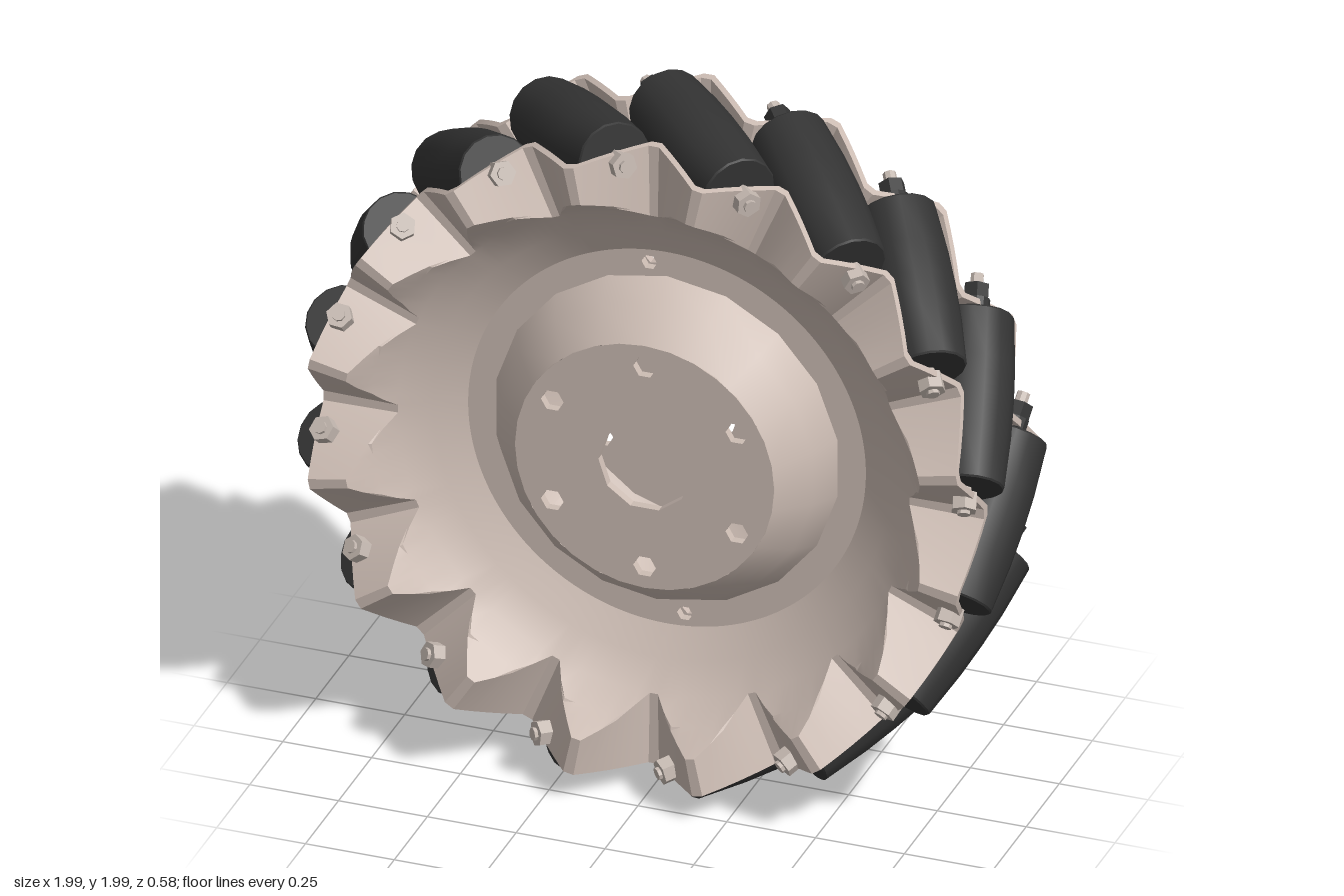
import * as THREE from 'three';
import { toCreasedNormals } from 'three/addons/utils/BufferGeometryUtils.js';

const COUNT = 16, STEP = (Math.PI * 2) / COUNT, THICK = 0.025, HUB_Z = 0.2;
const plateMat = new THREE.MeshStandardMaterial({ color: 0xcdbdb4 });
const darkMat = new THREE.MeshStandardMaterial({ color: 0x333333 });
const boltMat = new THREE.MeshStandardMaterial({ color: 0xc4b8b0 });

function add(parent, name, geometry, material) {
  const mesh = new THREE.Mesh(toCreasedNormals(geometry, 0.4), material);
  mesh.name = name;
  parent.add(mesh);
  return mesh;
}

function circle(r, n, cx = 0, cy = 0) {
  return Array.from({ length: n }, (_, i) => {
    const a = (i / n) * Math.PI * 2;
    return new THREE.Vector2(cx + r * Math.cos(a), cy + r * Math.sin(a));
  });
}

// Flat disc with round holes given as [radius, sides, x, y]
function disc(r, holes) {
  const shape = new THREE.Shape(circle(r, 32));
  shape.holes = holes.map((h) => new THREE.Path(circle(...h)));
  return new THREE.ExtrudeGeometry(shape, { depth: THICK, bevelEnabled: false });
}

const lathe = (points, sides) => new THREE.LatheGeometry(points.map((p) => new THREE.Vector2(...p)), sides);

// Bowl profile from the joint ring out to the tooth tips: [radius, z]
const BOWL = [[0.56, 0.03], [0.64, 0.075], [0.72, 0.13], [0.77, 0.205], [0.815, 0.29]];
function bowlRadius(z) {
  for (let i = 1; i < BOWL.length; i++) {
    const [r0, z0] = BOWL[i - 1], [r1, z1] = BOWL[i];
    if (z <= z1) return r0 + ((r1 - r0) * (z - z0)) / (z1 - z0);
  }
  return BOWL[BOWL.length - 1][0];
}

// Closed cross-section of the toothed bowl where the zigzag height is z
function section(z) {
  const crease = bowlRadius(z);
  const front = BOWL.slice(0, 4).map(([r, h]) => [Math.min(r, crease), Math.min(h, z)]);
  front.push([crease + 0.006, z], [0.93, z]);
  const back = front.map(([r, h]) => [r, h - THICK]).reverse();
  return front.concat(back);
}

function toothedBowl() {
  const columns = [];
  for (let k = 0; k < COUNT; k++) {
    for (const u of [-0.04, 0.04, 0.15, 0.25, 0.35, 0.46, 0.54, 0.65, 0.75, 0.85]) {
      const wave = 1 - 4 * Math.abs(u > 0.5 ? u - 1 : u);
      const z = 0.21 + 0.08 * THREE.MathUtils.clamp(wave / 0.84, -1, 1);
      columns.push({ a: (k + 0.5 + u) * STEP, points: section(z) });
    }
  }
  const n = columns[0].points.length, m = columns.length;
  const position = [], index = [];
  columns.forEach(({ a, points }, j) => {
    points.forEach(([r, z], i) => {
      position.push(r * Math.sin(a), r * Math.cos(a), z);
      const j1 = (j + 1) % m, i1 = (i + 1) % n;
      const A = j * n + i, B = j1 * n + i, C = j1 * n + i1, D = j * n + i1;
      index.push(A, B, C, A, C, D);
    });
  });
  const g = new THREE.BufferGeometry();
  g.setAttribute('position', new THREE.Float32BufferAttribute(position, 3));
  g.setIndex(index);
  g.computeVertexNormals();
  return g;
}

// One side plate: toothed bowl, joint ring, hub cone and hub face
function sidePlate(name, hubTurn) {
  const plate = new THREE.Group();
  plate.name = name;
  add(plate, 'toothedBowl', toothedBowl(), plateMat);

  const ring = disc(0.565, [[0.475, 32], [0.022, 6, -0.05, 0.52], [0.022, 6, 0.05, -0.52]]);
  add(plate, 'jointRing', ring, plateMat).position.z = 0.005;

  const cone = [[0.49, 0.025], [0.445, 0.11], [0.365, HUB_Z], [0.345, HUB_Z - 0.02],
    [0.425, 0.1], [0.465, 0.025], [0.49, 0.025]];
  add(plate, 'hubCone', lathe(cone, 18).rotateX(Math.PI / 2), plateMat);

  const holes = [[0.13, 10]];
  for (let i = 0; i < 6; i++) {
    const a = (i * Math.PI) / 3;
    holes.push([0.032, 6, 0.3 * Math.sin(a), 0.3 * Math.cos(a)]);
  }
  const hubFace = add(plate, 'hubFace', disc(0.365, holes), plateMat);
  hubFace.position.z = HUB_Z - THICK;
  hubFace.rotation.z = hubTurn;
  return plate;
}

// Barrel roller on its bolt; local +y is the front end of the axle
function rollerUnit() {
  const unit = new THREE.Group();
  unit.name = 'rollerUnit';
  const barrel = [[0, -0.24], [0.1, -0.24], [0.104, -0.235], [0.114, -0.1], [0.116, 0],
    [0.114, 0.1], [0.104, 0.235], [0.1, 0.24], [0, 0.24]];
  add(unit, 'roller', lathe(barrel, 16), darkMat);
  const rod = (name, r, sides, from, to, mat) => {
    add(unit, name, new THREE.CylinderGeometry(r, r, to - from, sides), mat).position.y = (from + to) / 2;
  };
  rod('axle', 0.018, 8, -0.355, 0.315, boltMat);
  rod('boltHead', 0.036, 6, 0.255, 0.305, boltMat);
  rod('washer', 0.038, 12, -0.285, -0.255, darkMat);
  rod('nut', 0.036, 6, -0.325, -0.285, darkMat);
  return unit;
}

export function createModel() {
  const model = new THREE.Group();
  model.name = 'rollerWheel';
  const wheel = new THREE.Group();
  wheel.name = 'wheel';
  wheel.position.y = 1;
  model.add(wheel);

  // The back plate is the front one turned round and shifted by half a tooth,
  // with its hub holes kept in line with the front ones
  wheel.add(sidePlate('frontPlate', 0));
  const back = new THREE.Group();
  back.name = 'backHalf';
  back.rotation.z = STEP / 2;
  const backPlate = sidePlate('backPlate', STEP / 2);
  backPlate.rotation.y = Math.PI;
  back.add(backPlate);
  wheel.add(back);

  // Sixteen rollers slanted at 45 degrees
  for (let k = 0; k < COUNT; k++) {
    const spoke = new THREE.Group();
    spoke.name = 'rollerMount';
    spoke.rotation.z = -(k + 0.25) * STEP;
    const unit = rollerUnit();
    unit.position.y = 0.88;
    unit.rotation.set(Math.PI / 2, Math.PI / 4, 0, 'YXZ');
    spoke.add(unit);
    wheel.add(spoke);
  }
  return model;
}
